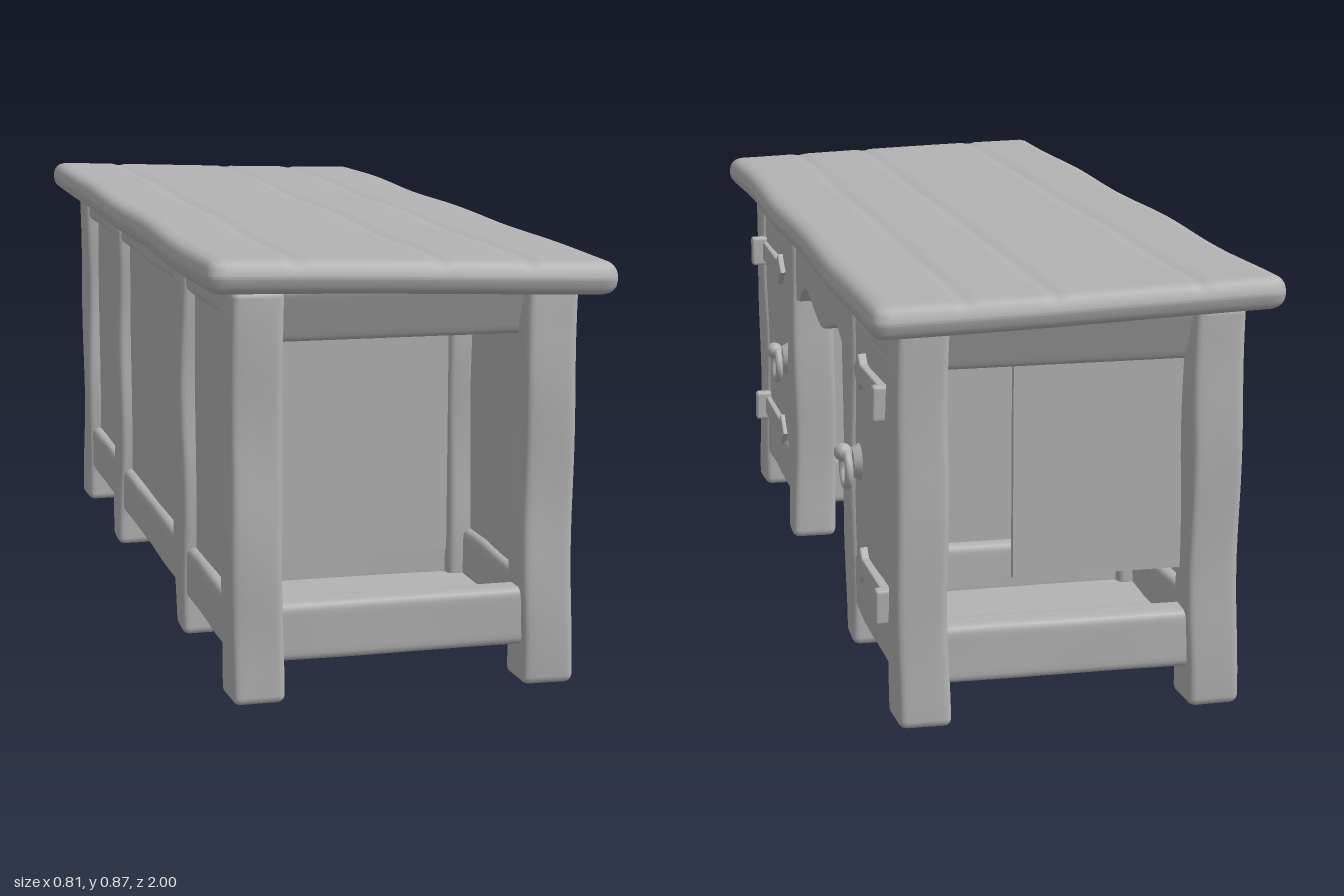
import * as THREE from 'three';
import { mergeVertices } from 'three/addons/utils/BufferGeometryUtils.js';

const wood = new THREE.MeshStandardMaterial({ color: 0xb3b3b3 });
wood.name = 'plain grey';

// gentle hand-hewn unevenness, driven by position
function wobble(p, a) {
  const { x, y, z } = p;
  p.x += a * Math.sin(11 * y + 5 * z) * Math.cos(17 * z + 3 * y);
  p.y += a * 0.6 * Math.sin(13 * z + 4 * x);
  p.z += a * Math.sin(14 * y + 9 * x) * Math.cos(6 * x + 2);
}

// softly rounded timber spanning two corners, with an optional vertex rule
function timber(name, lo, hi, r = 0.015, rule = (p) => wobble(p, 0.003), seg = [8, 12, 8]) {
  const half = lo.map((v, i) => (hi[i] - v) / 2);
  const mid = lo.map((v, i) => (hi[i] + v) / 2);
  r = Math.min(r, ...half.map((h) => h * 0.95));
  let geo = new THREE.BoxGeometry(2, 2, 2, ...seg);
  geo.deleteAttribute('normal');
  geo.deleteAttribute('uv');
  geo = mergeVertices(geo);
  const pos = geo.attributes.position;
  const p = new THREE.Vector3(), core = new THREE.Vector3();
  for (let i = 0; i < pos.count; i++) {
    p.fromBufferAttribute(pos, i);
    ['x', 'y', 'z'].forEach((k, a) => {
      // two rows of cells at each end form the rounded edge
      const n = seg[a], c = Math.round((p[k] + 1) / 2 * n), h = half[a];
      p[k] = c <= 2 ? -h + r * c / 2 : c >= n - 2 ? h - r * (n - c) / 2
        : -h + r + (2 * (h - r)) * (c - 2) / (n - 4);
      core[k] = THREE.MathUtils.clamp(p[k], r - h, h - r);
    });
    p.sub(core).setLength(r).add(core);
    p.set(p.x + mid[0], p.y + mid[1], p.z + mid[2]);
    rule(p);
    pos.setXYZ(i, p.x, p.y, p.z);
  }
  geo.computeVertexNormals();
  const mesh = new THREE.Mesh(geo, wood);
  mesh.name = name;
  return mesh;
}

function board(name, lo, hi) {
  const m = new THREE.Mesh(new THREE.BoxGeometry(...lo.map((v, i) => hi[i] - v)), wood);
  m.position.set(...lo.map((v, i) => (v + hi[i]) / 2));
  m.name = name;
  return m;
}

// strap hinge: forged bar with a pointed flare and a knuckle, running along z
function hinge(y, s) {
  const g = new THREE.Group();
  g.name = 'strapHinge';
  const pts = [[0, 0.02], [0.24, 0.016], [0.26, 0.032], [0.305, 0]];
  const shape = new THREE.Shape([...pts, ...pts.slice(0, 3).reverse().map(([a, b]) => [a, -b])]
    .map(([a, b]) => new THREE.Vector2(a, b)));
  const strap = new THREE.Mesh(new THREE.ExtrudeGeometry(shape,
    { depth: 0.014, bevelEnabled: true, bevelSize: 0.004, bevelThickness: 0.004, bevelSegments: 2 }), wood);
  strap.name = 'strap';
  // shape x runs along -z or +z towards the kneehole
  strap.rotation.y = Math.PI / 2;
  strap.position.set(0.324, y, s * 0.825);
  if (s < 0) { strap.rotation.y = -Math.PI / 2; strap.position.x = 0.342; }
  const zs = [s * 0.815, s * 0.845];
  g.add(strap, timber('knuckle', [0.32, y - 0.035, Math.min(...zs)], [0.366, y + 0.035, Math.max(...zs)], 0.006));
  return g;
}

// ring pull on a domed plate
function ringPull(s) {
  const g = new THREE.Group();
  g.name = 'ringPull';
  const plate = new THREE.Mesh(new THREE.CylinderGeometry(0.03, 0.042, 0.022, 20), wood);
  plate.name = 'handlePlate';
  plate.rotation.z = -Math.PI / 2;
  plate.position.x = 0.335;
  const stud = new THREE.Mesh(new THREE.SphereGeometry(0.019, 16, 10), wood);
  stud.name = 'stud';
  stud.position.set(0.364, 0.022, 0);
  const ring = new THREE.Mesh(new THREE.TorusGeometry(0.036, 0.009, 10, 28), wood);
  ring.name = 'ring';
  ring.rotation.set(0, Math.PI / 2, 0);
  ring.position.set(0.358, -0.012, 0);
  g.add(plate, stud, ring);
  g.position.set(0, 0.415, s * 0.488);
  return g;
}

export function createModel() {
  const desk = new THREE.Group();
  desk.name = 'desk';

  // tabletop: slightly tilted slab with worn plank seams
  desk.add(timber('tabletop', [-0.4, 0.787, -1], [0.4, 0.853, 1], 0.03, (p) => {
    if (p.y > 0.84) {
      for (const sx of [-0.23, 0.05, 0.22]) p.y -= 0.004 * Math.exp(-(((p.x - sx) / 0.009) ** 2));
    }
    p.y += -0.03 * p.x + 0.002 * Math.sin(9 * p.z + 5 * p.x);
    p.x += 0.003 * Math.sin(8 * p.z);
  }, [70, 8, 40]));

  // eight posts
  for (const sx of [-1, 1]) for (const sz of [-1, 1]) for (const [a, b] of [[0.835, 0.938], [0.35, 0.442]]) {
    const x = [sx * 0.237, sx * 0.341].sort((m, n) => m - n);
    const z = [sz * a, sz * b].sort((m, n) => m - n);
    desk.add(timber('post', [x[0], 0, z[0]], [x[1], 0.8, z[1]], 0.016, (p) => {
      const y = p.y; wobble(p, 0.004); p.y = y;
    }, [8, 20, 8]));
  }

  for (const s of [-1, 1]) {
    const span = (a, b) => [s * a, s * b].sort((m, n) => m - n);
    const part = (make, name, x, y, z, ...rest) => {
      const [z0, z1] = span(...z);
      desk.add(make(name, [x[0], y[0], z0], [x[1], y[1], z1], ...rest));
    };

    // outer end: recessed panel, rails and sloping cove under the top
    part(board, 'endPanel', [-0.27, 0.1], [0.27, 0.79].map((v) => v), [0.86, 0.875]);
    part(timber, 'endBottomRail', [-0.27, 0.27], [0.08, 0.195], [0.855, 0.925]);
    part(timber, 'endTopRail', [-0.27, 0.27], [0.69, 0.795], [0.845, 0.88], 0.01, (p) => {
      p.z += s * Math.max(0, p.y - 0.69) * 0.4;
    });

    // kneehole side of the pedestal
    part(board, 'innerPanel', [-0.27, 0.27], [0.1, 0.79], [0.375, 0.39]);
    part(timber, 'innerBottomRail', [-0.27, 0.27], [0.08, 0.195], [0.36, 0.42]);

    // pedestal floor
    part(board, 'pedestalFloor', [-0.3, 0.3], [0.083, 0.1], [0.37, 0.9]);

    // front and back rails with the back panel
    part(timber, 'frontBottomRail', [0.27, 0.332], [0.08, 0.195], [0.42, 0.86]);
    part(timber, 'frontTopRail', [0.27, 0.332], [0.7, 0.795], [0.42, 0.86]);
    part(timber, 'backBottomRail', [-0.33, -0.27], [0.08, 0.19], [0.42, 0.86]);
    part(timber, 'backTopRail', [-0.33, -0.27], [0.73, 0.795], [0.42, 0.86]);
    part(board, 'backPanel', [-0.31, -0.295], [0.1, 0.79], [0.42, 0.86]);

    // door with its ironwork
    part(timber, 'door', [0.285, 0.329], [0.19, 0.71], [0.435, 0.845], 0.01);
    desk.add(hinge(0.622, s), hinge(0.218, s), ringPull(s));
  }

  // kneehole back
  desk.add(board('kneeholePanel', [-0.31, 0.1, -0.39], [-0.295, 0.79, 0.39]));
  desk.add(timber('kneeholeBottomRail', [-0.33, 0.08, -0.38], [-0.265, 0.185, 0.38]));
  desk.add(timber('kneeholeTopRail', [-0.33, 0.73, -0.38], [-0.27, 0.795, 0.38]));

  // scalloped apron over the kneehole
  const wave = [[-0.37, 0.59], [-0.32, 0.595], [-0.27, 0.625], [-0.2, 0.643], [-0.11, 0.622], [0, 0.6],
    [0.11, 0.622], [0.2, 0.643], [0.27, 0.625], [0.32, 0.595], [0.37, 0.59]].map((v) => new THREE.Vector2(...v));
  const apronShape = new THREE.Shape();
  apronShape.moveTo(0.37, 0.79);
  apronShape.lineTo(-0.37, 0.79);
  apronShape.lineTo(-0.37, 0.59);
  apronShape.splineThru(wave.slice(1));
  const apron = new THREE.Mesh(new THREE.ExtrudeGeometry(apronShape, {
    depth: 0.04, curveSegments: 4, bevelEnabled: true, bevelSize: 0.005, bevelThickness: 0.005, bevelSegments: 2,
  }), wood);
  apron.name = 'apron';
  apron.rotation.y = Math.PI / 2;
  apron.position.x = 0.283;
  desk.add(apron);

  return desk;
}
